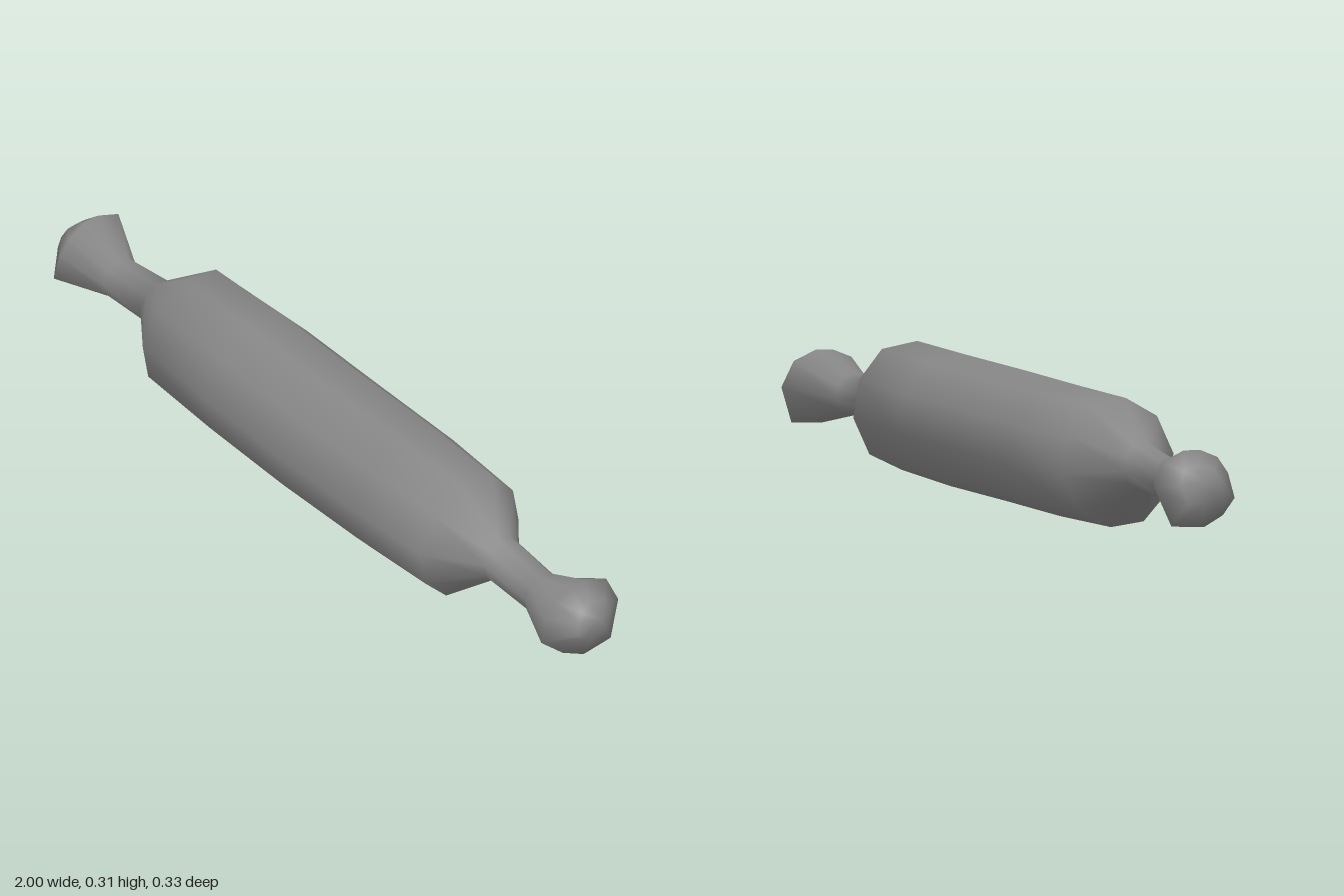
import * as THREE from 'three';

// Ten-sided sections as [z, y], starting at the top and turning towards the back.
const barrelSection = [
  [0.025, 0.311], [-0.08, 0.298], [-0.147, 0.228], [-0.165, 0.136], [-0.117, 0.045],
  [-0.02, 0.001], [0.077, 0.009], [0.148, 0.075], [0.166, 0.168], [0.117, 0.262],
];
// The carved knob is uneven: [z, y, x]
const knobSection = [
  [0.01, 0.24, 0.925], [-0.035, 0.243, 0.925], [-0.095, 0.22, 0.925], [-0.12, 0.157, 0.94], [-0.085, 0.068, 0.955],
  [0, 0.062, 0.96], [0.055, 0.085, 0.95], [0.1, 0.12, 0.925], [0.085, 0.18, 0.92], [0.057, 0.22, 0.92],
];
const SIDES = barrelSection.length;
const TIP = [1, 0.178, -0.02];

// Barrel section scaled about its axis and moved to a new height and depth
const scaled = (x, sz, sy, cy = 0.156, cz = 0) =>
  barrelSection.map(([z, y]) => [x, cy + (y - 0.156) * sy, cz + z * sz]);

// Rings of the right-hand half, from the middle of the barrel to the knob tip
const halfRings = [
  scaled(0.28, 0.985, 1, 0.156, -0.003),         // barrel
  scaled(0.525, 0.9, 0.985, 0.159),              // barrel shoulder
  scaled(0.65, 0.33, 0.36, 0.166, 0.003),        // neck
  scaled(0.8, 0.31, 0.32, 0.15, 0),              // thin end of the handle
  knobSection.map(([z, y, x]) => [x, y, z]),     // widest part of the knob
  knobSection.map(([z, y, x]) => [               // end of the knob, fuller at the front
    x + (TIP[0] - x) * (0.55 + Math.max(0, 2.5 * z)), (y + TIP[1]) / 2, (z + TIP[2]) / 2]),
];

function loftPin() {
  const mirrored = halfRings.map(r => r.map(([x, y, z]) => [-x, y, z])).reverse();
  const rings = [...mirrored, scaled(0, 1, 1), ...halfRings];
  const points = rings.flat();
  const index = [];
  for (let i = 0; i < rings.length - 1; i++) {
    for (let j = 0; j < SIDES; j++) {
      const k = (j + 1) % SIDES;
      const a = i * SIDES + j, b = i * SIDES + k;
      const d = a + SIDES, c = b + SIDES;
      index.push(a, d, b, b, d, c);
    }
  }
  // Tips closing both knobs
  const tipA = points.push([-TIP[0], TIP[1], TIP[2]]) - 1;
  const tipB = points.push(TIP) - 1;
  const last = (rings.length - 1) * SIDES;
  for (let j = 0; j < SIDES; j++) {
    const k = (j + 1) % SIDES;
    index.push(tipA, j, k, tipB, last + k, last + j);
  }
  const geometry = new THREE.BufferGeometry();
  geometry.setAttribute('position', new THREE.Float32BufferAttribute(points.flat(), 3));
  geometry.setIndex(index);
  geometry.computeVertexNormals();
  return geometry;
}

export function createModel() {
  const group = new THREE.Group();
  group.name = 'rollingPin';
  // Barrel and both handles are one turned piece in dark grey
  const pin = new THREE.Mesh(loftPin(), new THREE.MeshStandardMaterial({ color: 0x888888 }));
  pin.name = 'barrelAndHandles';
  group.add(pin);
  return group;
}
